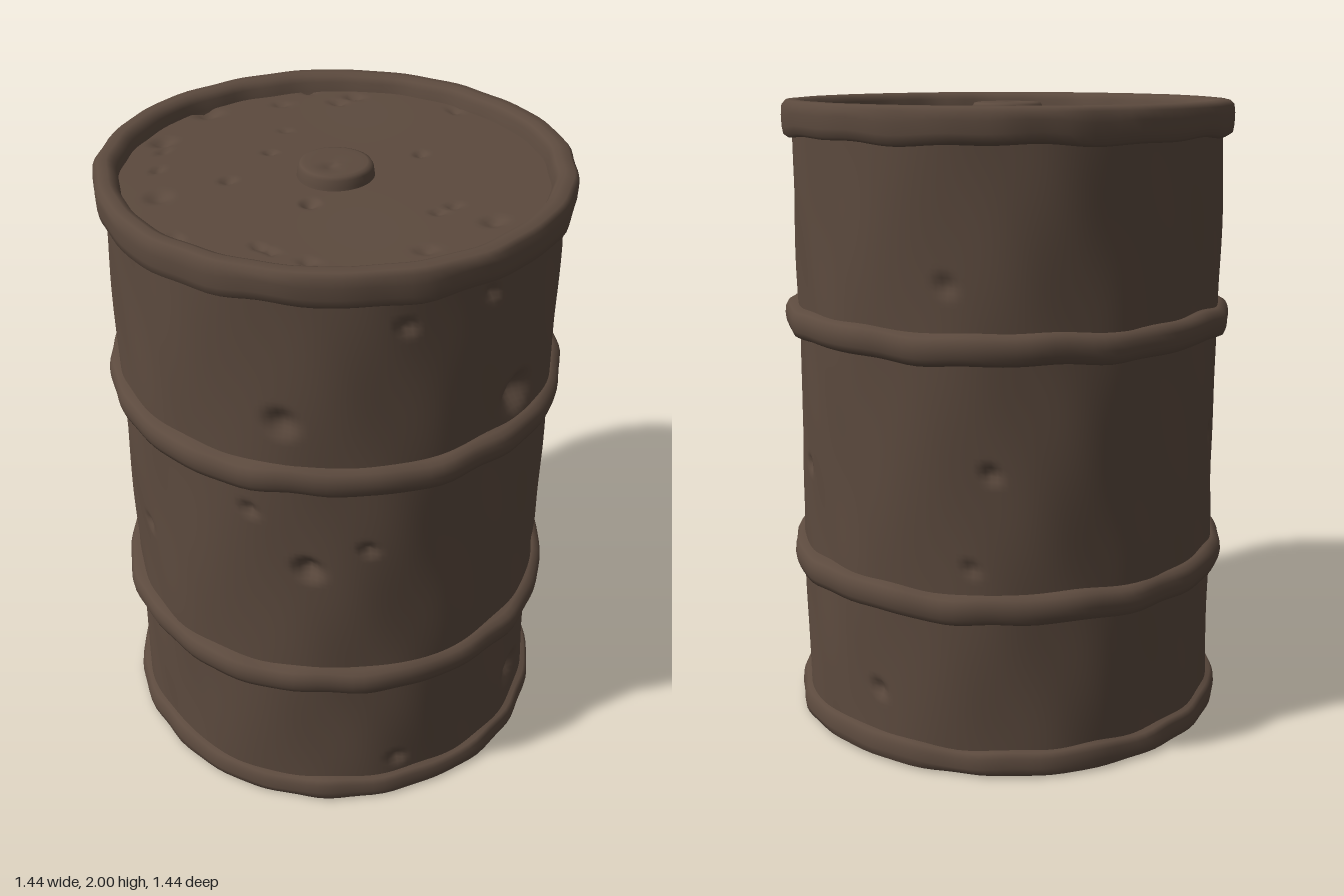
import * as THREE from 'three';
import { mergeVertices } from 'three/addons/utils/BufferGeometryUtils.js';

// Dents on the wall: [angle in degrees from the front towards +x, height, radius, depth]
const WALL_DENTS = [
  [11, 1.45, 0.075, 0.055], [-53, 1.51, 0.055, 0.025], [-47, 0.98, 0.05, 0.035],
  [40, 0.67, 0.075, 0.035], [54, 0.71, 0.065, 0.025], [22, 0.23, 0.065, 0.04],
  [-23, 0.14, 0.035, 0.02], [-24, 1.81, 0.03, 0.02], [-2, 1.85, 0.03, 0.02],
  [40, 1.8, 0.025, 0.015], [42, 1.7, 0.025, 0.015], [-32, 1.06, 0.03, 0.02],
  [-62, 1.18, 0.03, 0.02], [55, 1.38, 0.05, 0.02], [70, 1.2, 0.025, 0.015],
  [70, 0.93, 0.025, 0.015], [83, 0.86, 0.028, 0.02], [76, 0.14, 0.025, 0.015],
  [142, 0.66, 0.03, 0.015], [136, 1.5, 0.04, 0.015], [147, 0.95, 0.035, 0.02],
  [115, 0.22, 0.035, 0.02], [-135, 0.95, 0.03, 0.02], [-100, 0.9, 0.03, 0.015],
];
// Dents on the lid: [x, z, radius, depth]
const LID_DENTS = [
  [-0.26, -0.52, 0.04, 0.02], [-0.49, -0.21, 0.045, 0.015], [-0.39, -0.36, 0.022, 0.015],
  [-0.3, -0.46, 0.02, 0.015], [-0.27, -0.17, 0.028, 0.015], [-0.05, -0.25, 0.022, 0.015],
  [0.09, -0.35, 0.02, 0.01], [0.21, -0.52, 0.025, 0.015], [0.36, -0.41, 0.026, 0.018],
  [0.43, -0.41, 0.03, 0.018], [0.34, -0.54, 0.022, 0.012], [0.6, -0.11, 0.025, 0.015],
  [0.29, 0.06, 0.025, 0.015], [-0.18, 0.1, 0.032, 0.02], [-0.6, 0.03, 0.028, 0.015],
  [-0.58, 0.22, 0.022, 0.015], [-0.45, 0.21, 0.022, 0.015], [-0.44, 0.25, 0.022, 0.015],
  [-0.4, 0.36, 0.026, 0.015], [0.06, 0.38, 0.025, 0.015], [0.12, 0.38, 0.025, 0.015],
  [-0.12, 0.52, 0.03, 0.015], [0.14, 0.52, 0.038, 0.018], [-0.02, -0.61, 0.045, 0.02],
];

const smooth = t => t * t * (3 - 2 * t);
const bowl = (d, r) => (d < r * 1.2 ? smooth(1 - d / (r * 1.2)) : 0);

// Gentle battered unevenness, periodic around the drum
function warp(a, y) {
  return 0.003 * Math.sin(5 * a + 4 * y) + 0.0025 * Math.sin(9 * a - 7 * y + 1)
    + 0.002 * Math.sin(17 * a + 11 * y + 2);
}

function wallShape(p) {
  const a = Math.atan2(p.x, p.z);
  let r = Math.hypot(p.x, p.z);
  const scale = 1 / r;
  let push = warp(a, p.y);
  for (const [deg, y, size, depth] of WALL_DENTS) {
    let da = a - deg * Math.PI / 180;
    da = Math.atan2(Math.sin(da), Math.cos(da));
    push -= depth * bowl(Math.hypot(da * 0.685, p.y - y), size);
  }
  r += push;
  p.x *= r * scale;
  p.z *= r * scale;
}

// Hoops and rims: uneven radius and edge height
function bandShape(p) {
  const a = Math.atan2(p.x, p.z);
  const k = 1 + warp(a, p.y * 0.3) * 1.1 + 0.003 * Math.sin(23 * a + 5 * p.y);
  p.x *= k;
  p.z *= k;
  if (p.y > 0.02 && p.y < 1.97) p.y += 0.004 * Math.sin(7 * a + p.y) + 0.003 * Math.sin(15 * a + 2 * p.y);
}

function lidShape(p) {
  p.y += 0.003 * Math.sin(6 * p.x + 1) * Math.sin(5 * p.z);
  for (const [x, z, size, depth] of LID_DENTS) p.y -= depth * bowl(Math.hypot(p.x - x, p.z - z), size);
}

function baseShape(p) {
  for (const [x, z, size, depth] of LID_DENTS.slice(0, 14)) {
    p.y += depth * 0.7 * bowl(Math.hypot(p.x + x, p.z - z), size);
  }
}

// Smooth surface of revolution, reshaped by a rule
function turned(points, segments, rule) {
  const geo = new THREE.LatheGeometry(points.map(([r, y]) => new THREE.Vector2(r, y)), segments);
  const pos = geo.attributes.position;
  const p = new THREE.Vector3();
  for (let i = 0; i < pos.count; i++) {
    p.fromBufferAttribute(pos, i);
    rule(p);
    pos.setXYZ(i, p.x, p.y, p.z);
  }
  geo.deleteAttribute('uv');
  geo.deleteAttribute('normal');
  const merged = mergeVertices(geo, 1e-5);
  merged.computeVertexNormals();
  return merged;
}

// Evenly spaced profile between two points
function line(r0, y0, r1, y1, n) {
  return Array.from({ length: n + 1 }, (_, i) => [r0 + (r1 - r0) * i / n, y0 + (y1 - y0) * i / n]);
}

export function createModel() {
  const group = new THREE.Group();
  const rust = new THREE.MeshStandardMaterial({ color: 0x5c4a3e });
  rust.name = 'rusty brown';
  const add = (name, geo) => {
    const mesh = new THREE.Mesh(geo, rust);
    mesh.name = name;
    group.add(mesh);
  };

  // Dented wall
  add('wall', turned(line(0.683, 0.04, 0.683, 1.93, 130), 240, wallShape));

  // Two rolled hoops
  for (const [name, y] of [['lowerHoop', 0.535], ['upperHoop', 1.32]]) {
    add(name, turned([
      [0.66, y - 0.05], [0.69, y - 0.047], [0.709, y - 0.038], [0.716, y - 0.02], [0.719, y],
      [0.717, y + 0.02], [0.708, y + 0.038], [0.69, y + 0.046], [0.66, y + 0.05],
    ], 120, bandShape));
  }

  // Bottom rim and recessed base
  add('bottomRim', turned([
    [0.645, 0.03], [0.65, 0.012], [0.665, 0.001], [0.695, 0], [0.708, 0.008], [0.711, 0.03],
    [0.708, 0.06], [0.698, 0.076], [0.66, 0.082],
  ], 120, bandShape));
  add('base', turned(line(0, 0.022, 0.665, 0.022, 50), 160, baseShape));

  // Top rim and recessed lid
  add('topRim', turned([
    [0.66, 1.892], [0.695, 1.893], [0.708, 1.902], [0.712, 1.925], [0.713, 1.96], [0.71, 1.985],
    [0.698, 1.998], [0.67, 2], [0.652, 1.992], [0.642, 1.975], [0.637, 1.945], [0.632, 1.93],
  ], 120, bandShape));
  add('lid', turned(line(0.66, 1.945, 0, 1.945, 60), 180, lidShape));

  // Central plug
  add('plug', turned([
    [0.118, 1.935], [0.115, 1.955], [0.112, 1.975], [0.106, 1.985], [0.095, 1.988],
    [0.07, 1.988], [0.04, 1.988], [0.02, 1.987], [0, 1.987],
  ], 48, p => {
    p.y -= 0.012 * bowl(Math.hypot(p.x + 0.03, p.z - 0.01), 0.03);
    p.x *= 1 + 0.03 * Math.sin(9 * p.z);
  }));

  return group;
}
